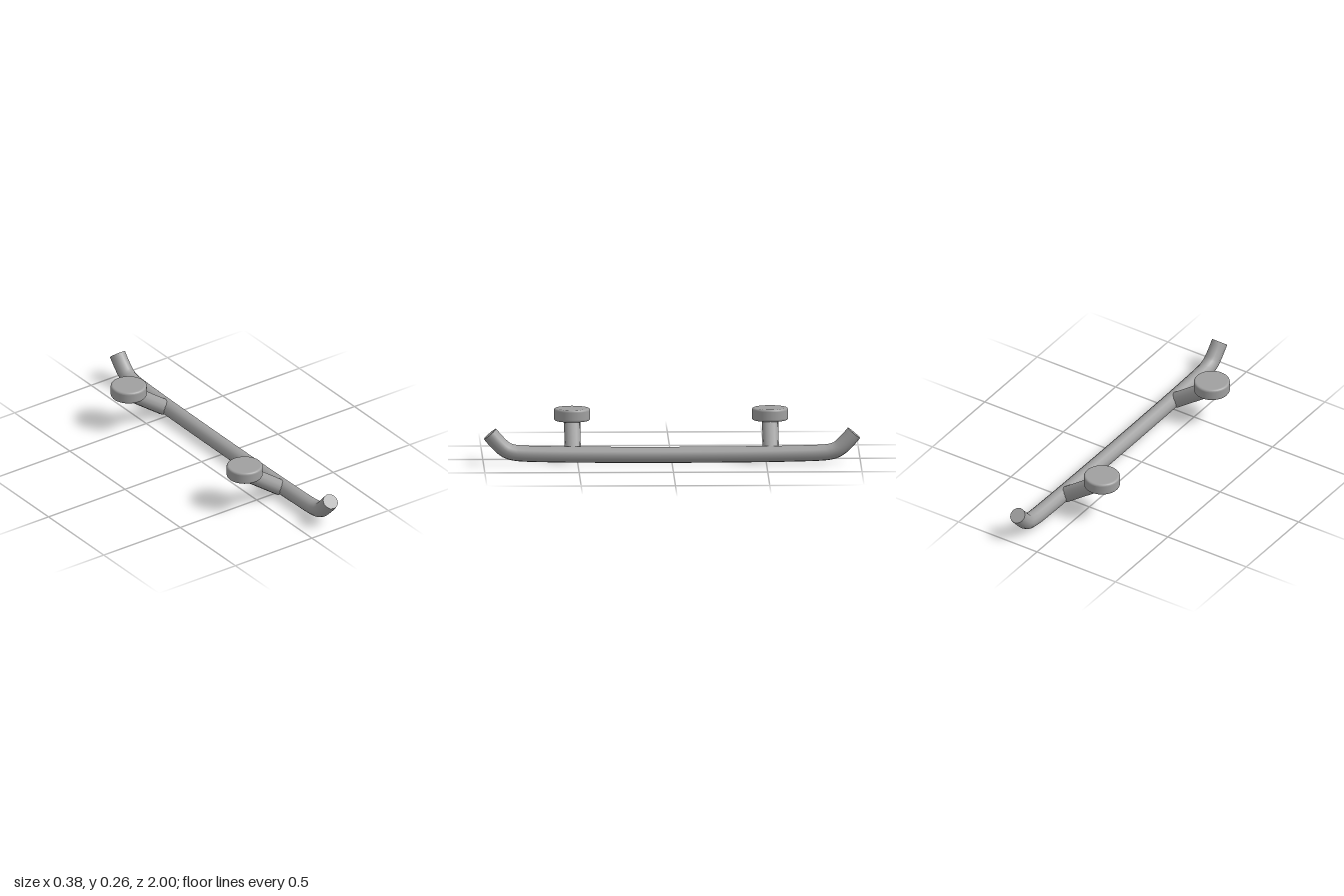
import * as THREE from 'three';

export function createModel() {
  const model = new THREE.Group();
  model.name = 'landingSkid';
  const metal = new THREE.MeshStandardMaterial({ color: 0xa0a0a0 });
  metal.name = 'greyMetal';

  const add = (parent, name, geometry) => {
    const mesh = new THREE.Mesh(geometry, metal);
    mesh.name = name;
    parent.add(mesh);
    return mesh;
  };

  // Long runner: slightly bowed, with both tips bent upward
  const RUNNER_X = 0.147, RADIUS = 0.043, SIDES = 12;
  const half = [[0.3, 0.046], [0.6, 0.049], [0.8, 0.055], [0.84, 0.06],
    [0.88, 0.074], [0.93, 0.119], [0.965, 0.16]];
  const side = (s) => half.map(([z, y]) => new THREE.Vector3(RUNNER_X, y, s * z));
  const path = new THREE.CatmullRomCurve3(
    [...side(-1).reverse(), new THREE.Vector3(RUNNER_X, 0.045, 0), ...side(1)]);
  const runner = new THREE.Group();
  runner.name = 'runner';
  model.add(runner);
  add(runner, 'runnerTube', new THREE.TubeGeometry(path, 96, RADIUS, SIDES));

  // Flat caps closing the runner tips
  for (const t of [0, 1]) {
    const cap = add(runner, t ? 'frontCap' : 'backCap', new THREE.CircleGeometry(RADIUS, SIDES));
    const outward = path.getTangentAt(t).multiplyScalar(t ? 1 : -1);
    cap.position.copy(path.getPointAt(t));
    cap.quaternion.setFromUnitVectors(new THREE.Vector3(0, 0, 1), outward);
  }

  // Round mounting pad profile with rounded rims and support points for crisp flats
  const R = 0.096, H = 0.033, B = 0.011;
  const profile = [new THREE.Vector2(0, -H), new THREE.Vector2(R - B - 0.001, -H)];
  for (const top of [0, 1]) {
    if (top) profile.push(new THREE.Vector2(R, H - B - 0.001));
    for (let i = 0; i <= 4; i++) {
      const a = (top ? 0 : -Math.PI / 2) + (i / 4) * Math.PI / 2;
      profile.push(new THREE.Vector2(R - B + B * Math.cos(a), (top ? H - B : B - H) + B * Math.sin(a)));
    }
    if (!top) profile.push(new THREE.Vector2(R, B - H + 0.001));
  }
  profile.push(new THREE.Vector2(R - B - 0.001, H), new THREE.Vector2(0, H));
  const padGeometry = new THREE.LatheGeometry(profile, 40);

  // Slanted struts, each carrying a pad
  const low = new THREE.Vector3(0.132, 0.047, 0);
  const high = new THREE.Vector3(-0.098, 0.213, 0);
  const axis = high.clone().sub(low);
  const strutGeometry = new THREE.CylinderGeometry(RADIUS, RADIUS, axis.length(), SIDES);
  for (const s of [1, -1]) {
    const mount = new THREE.Group();
    mount.name = s > 0 ? 'frontMount' : 'backMount';
    mount.position.z = s * 0.525;
    model.add(mount);
    const strut = add(mount, 'strut', strutGeometry);
    strut.position.copy(low).add(high).multiplyScalar(0.5);
    strut.quaternion.setFromUnitVectors(new THREE.Vector3(0, 1, 0), axis.clone().normalize());
    add(mount, 'pad', padGeometry).position.set(-0.097, 0.229, 0);
  }
  return model;
}
